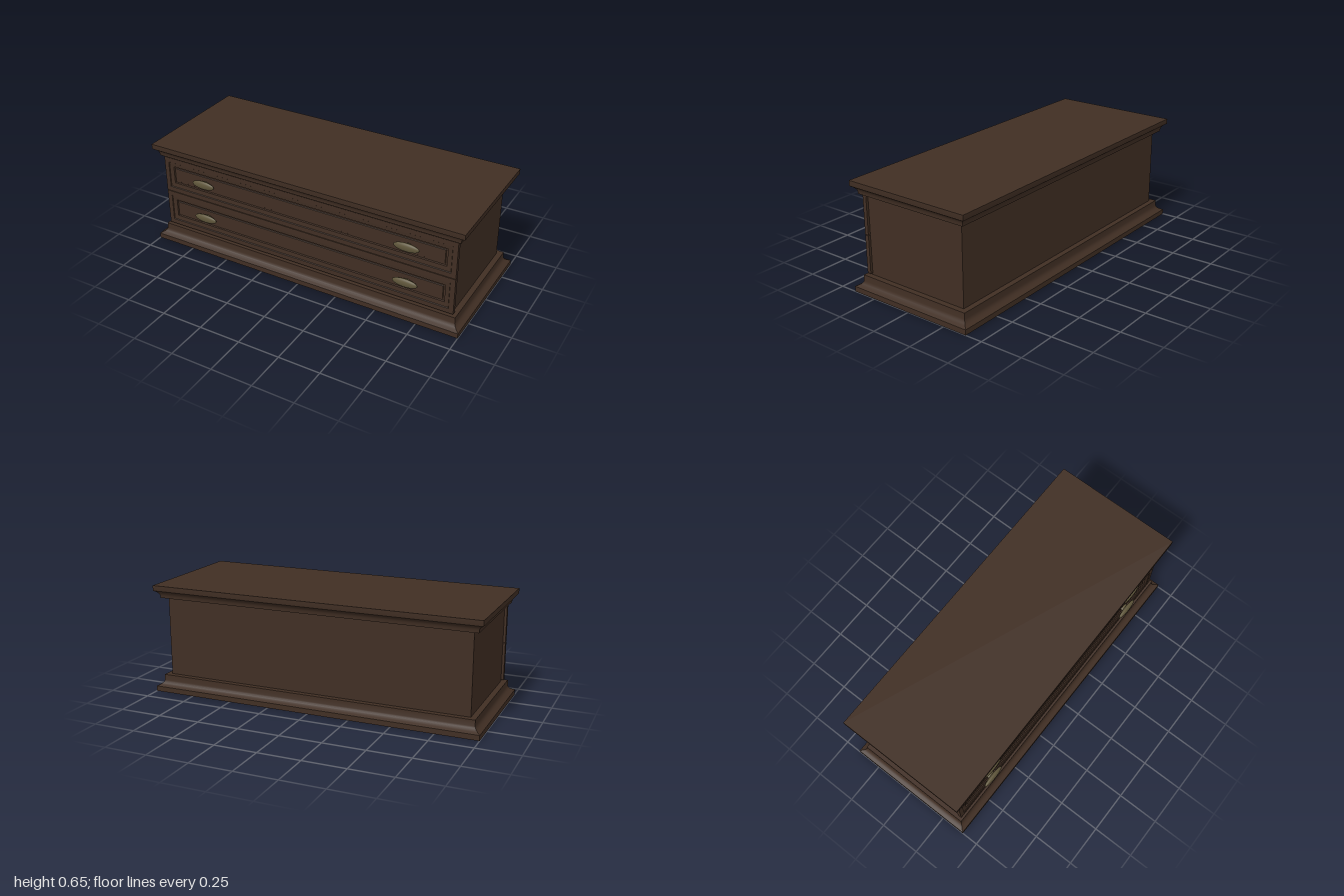
import * as THREE from 'three';
import { toCreasedNormals } from 'three/addons/utils/BufferGeometryUtils.js';

// Stacks rectangular cross-sections [halfX, halfZ, y] into a closed solid
function loft(rings) {
  const corners = [[1, 1], [1, -1], [-1, -1], [-1, 1]];
  const positions = [], index = [];
  for (const [hx, hz, y] of rings)
    for (const [sx, sz] of corners) positions.push(sx * hx, y, sz * hz);
  for (let r = 0; r < rings.length - 1; r++) {
    for (let i = 0; i < 4; i++) {
      const j = (i + 1) % 4;
      const a = r * 4 + i, b = r * 4 + j, c = b + 4, d = a + 4;
      index.push(a, b, c, a, c, d);
    }
  }
  const t = (rings.length - 1) * 4;
  index.push(0, 2, 1, 0, 3, 2, t, t + 1, t + 2, t, t + 2, t + 3);
  const geometry = new THREE.BufferGeometry();
  geometry.setAttribute('position', new THREE.Float32BufferAttribute(positions, 3));
  geometry.setIndex(index);
  return toCreasedNormals(geometry, 0.6);
}

// Moulding: the profile gives [inset, y], applied equally on all four sides
const moulding = (hx, hz, profile) => loft(profile.map(([inset, y]) => [hx - inset, hz - inset, y]));

export function createModel() {
  const model = new THREE.Group();
  const wood = new THREE.MeshStandardMaterial({ color: 0x402e23 });
  wood.name = 'dark wood';
  const brass = new THREE.MeshStandardMaterial({ color: 0x5e553a });
  brass.name = 'aged brass';

  const add = (name, geometry, material, parent = model) => {
    const mesh = new THREE.Mesh(geometry, material);
    mesh.name = name;
    parent.add(mesh);
    return mesh;
  };

  // Plinth with a concave upper edge
  add('plinth', moulding(1, 0.398, [
    [0, 0], [0, 0.031], [0.016, 0.039], [0.027, 0.046], [0.033, 0.054],
    [0.036, 0.064], [0.037, 0.098],
  ]), wood);

  // Carcass
  add('carcass', new THREE.BoxGeometry(1.86, 0.5, 0.656).translate(0, 0.336, 0), wood);

  // Top slab over a cove moulding
  add('top', moulding(0.994, 0.394, [
    [0.031, 0.574], [0.03, 0.587], [0.027, 0.597], [0.021, 0.606],
    [0.012, 0.613], [0.001, 0.62], [0, 0.625], [0, 0.652],
  ]), wood);

  // Drawer front: raised frame, sloping moulding, groove and inner panel
  const drawerProfile = [
    [0, 0], [0, 0.024], [0.029, 0.024], [0.032, 0.02], [0.038, 0.02],
    [0.046, 0.018], [0.058, 0.016], [0.061, 0.008], [0.069, 0.008], [0.072, 0.012],
  ];
  const drawerGeometry = moulding(0.945, 0.113, drawerProfile).rotateX(Math.PI / 2);
  const knobGeometry = new THREE.SphereGeometry(1, 32, 20).scale(0.076, 0.026, 0.0145);
  const stemGeometry = new THREE.CylinderGeometry(0.012, 0.012, 0.03, 16)
    .rotateX(Math.PI / 2).scale(2, 1, 1);

  [['lowerDrawer', 0.22], ['upperDrawer', 0.45]].forEach(([name, y]) => {
    const drawer = new THREE.Group();
    drawer.name = name;
    drawer.position.set(0, y, 0.325);
    add('drawerFront', drawerGeometry, wood, drawer);
    for (const side of [-1, 1]) {
      add('knob', knobGeometry, brass, drawer).position.set(side * 0.66, 0.002, 0.038);
      add('knobStem', stemGeometry, brass, drawer).position.set(side * 0.66, 0.002, 0.023);
    }
    model.add(drawer);
  });

  return model;
}
